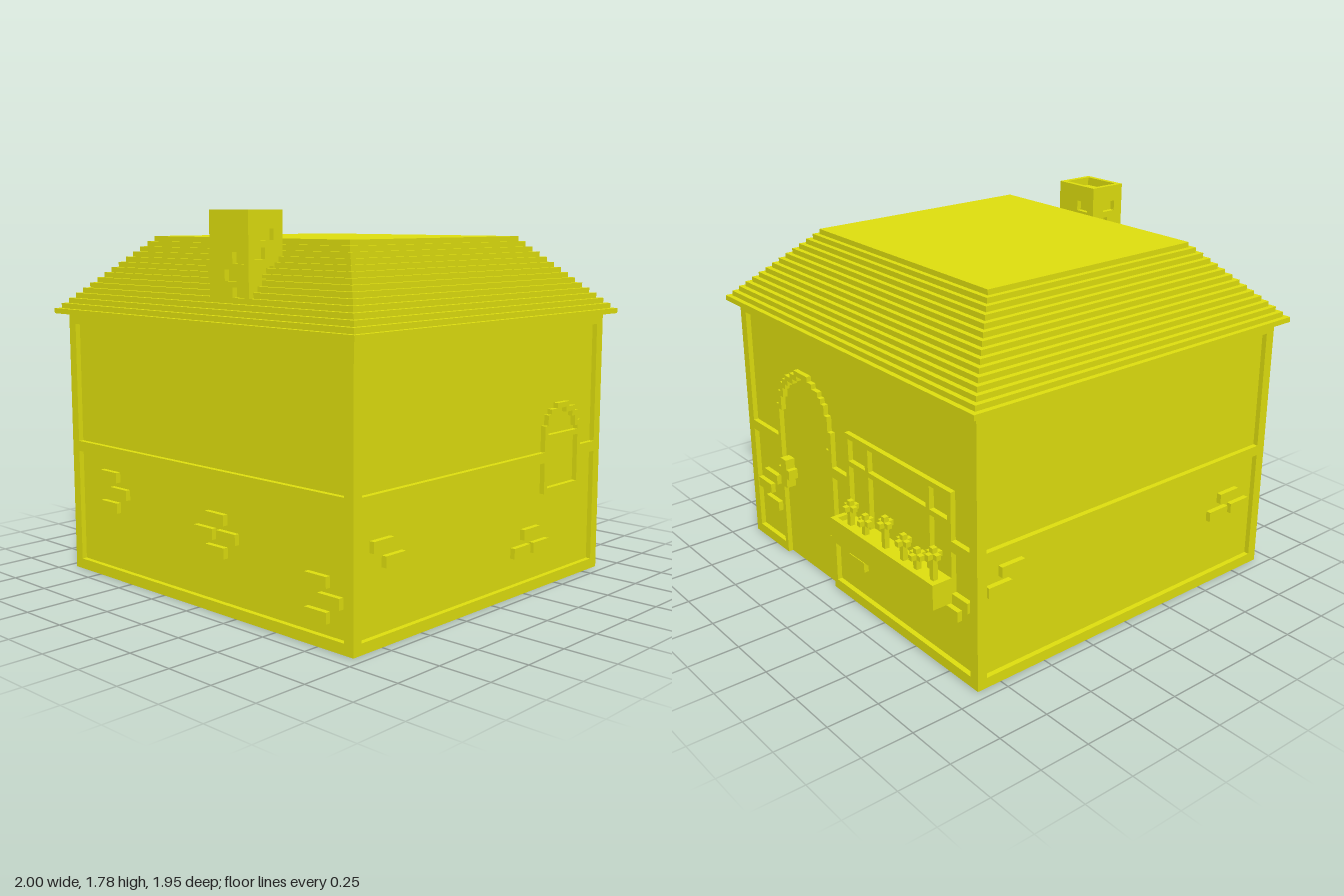
import * as THREE from 'three';

const T = 0.025; // relief step used by frames, bricks and roof layers
const material = new THREE.MeshStandardMaterial({ color: 0xdfdf0e, flatShading: true });

function add(parent, name, geometry) {
  const mesh = new THREE.Mesh(geometry, material);
  mesh.name = name;
  parent.add(mesh);
  return mesh;
}

// Box given by its limits on each axis
function box(parent, name, x0, x1, y0, y1, z0, z1) {
  const mesh = add(parent, name, new THREE.BoxGeometry(x1 - x0, y1 - y0, z1 - z0));
  mesh.position.set((x0 + x1) / 2, (y0 + y1) / 2, (z0 + z1) / 2);
  return mesh;
}

// Group facing outward: local x runs along the wall, local z = 0 is the panel surface
function side(parent, name, angle, distance) {
  const group = new THREE.Group();
  group.name = name;
  group.rotation.y = angle;
  group.position.set(Math.sin(angle) * distance, 0, Math.cos(angle) * distance);
  parent.add(group);
  return group;
}

function rectangle(x0, x1, y0, y1) {
  return [[x0, y0], [x1, y0], [x1, y1], [x0, y1]].map(p => new THREE.Vector2(...p));
}

function slab(parent, name, outline, holes) {
  const shape = new THREE.Shape(outline);
  holes.forEach(h => shape.holes.push(new THREE.Path(h)));
  return add(parent, name, new THREE.ExtrudeGeometry(shape, { depth: T, bevelEnabled: false }));
}

// Stepped arch outline; steps are [half width, height], widest first
function archOutline(cx, bottom, steps, inset) {
  const right = [];
  let y = bottom;
  for (const [half, top] of steps) {
    const h = half - inset;
    right.push([h, y], [h, top - inset]);
    y = top - inset;
  }
  const left = right.map(([h, v]) => [-h, v]).reverse();
  return [...right, ...left].map(([h, v]) => new THREE.Vector2(cx + h, v));
}

// Timber frame: outer rails, posts and a belt that may be interrupted
function frame(wall, u0, u1, in0, in1, belts, sills = [[u0, u1]]) {
  box(wall, 'cornerPost', u0, in0, 0, 1.28, 0, T);
  box(wall, 'cornerPost', in1, u1, 0, 1.28, 0, T);
  box(wall, 'topRail', in0, in1, 1.23, 1.28, 0, T);
  sills.forEach(([a, b]) => box(wall, 'bottomRail', a, b, 0, 0.05, 0, T));
  belts.forEach(([a, b]) => box(wall, 'beltRail', a, b, 0.6, 0.65, 0, T));
}

function bricks(wall, list) {
  for (const [u, y] of list) box(wall, 'brick', u - 0.0625, u + 0.0625, y - 0.025, y + 0.025, 0, T);
}

function buildFront(house) {
  const wall = side(house, 'frontWall', 0, 0.9);
  frame(wall, -0.95, 0.95, -0.9, 0.9, [[-0.9, 0.9]]);
  bricks(wall, [[-0.665, 0.505], [-0.59, 0.43], [-0.665, 0.355], [0.11, 0.43], [0.035, 0.355],
    [0.185, 0.355], [0.11, 0.28], [0.735, 0.28], [0.81, 0.205], [0.735, 0.13]]);
}

function buildRight(house) {
  const wall = side(house, 'rightWall', Math.PI / 2, 0.925);
  frame(wall, -0.9, 0.85, -0.875, 0.825, [[-0.875, 0.4], [0.7, 0.825]]);
  bricks(wall, [[-0.74, 0.43], [-0.665, 0.355], [0.31, 0.28], [0.235, 0.205], [0.385, 0.205]]);
  // Arched window with a crossbar
  const steps = [[0.15, 0.775], [0.125, 0.825], [0.1, 0.85], [0.05, 0.875]];
  slab(wall, 'archedWindowFrame', archOutline(0.55, 0.45, steps, 0),
    [rectangle(0.425, 0.675, 0.475, 0.705), archOutline(0.55, 0.73, steps, T)]);
}

function buildLeft(house) {
  const wall = side(house, 'leftWall', -Math.PI / 2, 0.925);
  frame(wall, -0.85, 0.9, -0.825, 0.875, [[-0.825, 0.875]]);
  bricks(wall, [[-0.68, 0.53], [-0.75, 0.455], [0.62, 0.36], [0.69, 0.435], [0.77, 0.36]]);
}

function buildBack(house) {
  const wall = side(house, 'backWall', Math.PI, 0.85);
  frame(wall, -0.95, 0.95, -0.9, 0.9, [[-0.9, -0.65], [-0.15, -0.025], [0.775, 0.9]],
    [[-0.9, -0.65], [-0.15, 0.9]]);
  bricks(wall, [[-0.76, 0.38], [-0.83, 0.305], [-0.76, 0.23], [0.03, 0.22], [0.75, 0.3], [0.82, 0.375]]);

  // Arched door surround, jamb stones and handle
  const steps = [[0.25, 0.825], [0.225, 0.9], [0.2, 0.95], [0.175, 0.975], [0.15, 1.0], [0.1, 1.025], [0.06, 1.05]];
  const outer = archOutline(-0.4, 0, steps, 0);
  const inner = archOutline(-0.4, 0, steps, T);
  slab(wall, 'doorSurround', [...outer, ...inner.reverse()], []);
  for (const y of [0.22, 0.68]) box(wall, 'jambStone', -0.2, -0.15, y, y + 0.05, 0, T);
  box(wall, 'doorHandle', -0.6, -0.55, 0.4, 0.55, 0, 2 * T);
  box(wall, 'doorHandle', -0.625, -0.525, 0.45, 0.5, 0, 2 * T);

  // Wide window: outer frame, two mullions and a crossbar
  const panes = [];
  for (const [a, b] of [[0, 0.135], [0.16, 0.6], [0.625, 0.75]])
    for (const [c, d] of [[0.4, 0.715], [0.74, 0.85]]) panes.push(rectangle(a, b, c, d));
  slab(wall, 'wideWindowFrame', rectangle(-0.025, 0.775, 0.375, 0.875), panes);

  // Flower box with soil
  const planter = new THREE.Group();
  planter.name = 'flowerBox';
  wall.add(planter);
  box(planter, 'planterFront', -0.02, 0.775, 0.355, 0.475, 0.1, 0.125);
  box(planter, 'planterEnd', -0.02, 0.005, 0.355, 0.475, 0, 0.1);
  box(planter, 'planterEnd', 0.75, 0.775, 0.355, 0.475, 0, 0.1);
  box(planter, 'soil', 0.005, 0.75, 0.355, 0.45, 0, 0.1);

  // Flowers: a stem with a three-way cross
  const flowers = [[0.06, 0.575], [0.18, 0.55], [0.34, 0.605], [0.48, 0.575], [0.58, 0.55], [0.7, 0.605]];
  for (const [u, top] of flowers) {
    const h = T / 2, w = 1.5 * T, d = 0.0625, y = top - 2 * T;
    box(planter, 'flowerStem', u - h, u + h, 0.45, top, d - h, d + h);
    box(planter, 'petals', u - w, u + w, y, y + T, d - h, d + h);
    box(planter, 'petals', u - h, u + h, y, y + T, d - w, d + w);
  }
}

function buildChimney(house) {
  const chimney = new THREE.Group();
  chimney.name = 'chimney';
  chimney.position.set(0.175, 0, 0.775);
  house.add(chimney);
  box(chimney, 'chimneyCore', -0.1, 0.1, 1.35, 1.74, -0.075, 0.075);
  // Four faces with sunken bricks
  const faces = [
    [0, 0.075, 0.125, [[0.06, 1.575], [0.01, 1.5], [0.06, 1.425]]],
    [Math.PI / 2, 0.1, 0.1, [[0.008, 1.675], [-0.042, 1.595], [0.008, 1.515]]],
    [Math.PI, 0.075, 0.125, [[0.045, 1.675], [-0.045, 1.6]]],
    [-Math.PI / 2, 0.1, 0.1, [[0.01, 1.675], [-0.035, 1.595], [0.01, 1.515]]],
  ];
  for (const [angle, distance, half, list] of faces) {
    const face = side(chimney, 'chimneySide', angle, distance);
    slab(face, 'chimneyFace', rectangle(-half, half, 1.35, 1.78),
      list.map(([u, y]) => rectangle(u - 0.0375, u + 0.0375, y - 0.025, y + 0.025)));
  }
}

export function createModel() {
  const house = new THREE.Group();
  house.name = 'house';
  box(house, 'wallCore', -0.925, 0.925, 0, 1.28, -0.85, 0.9);
  buildFront(house);
  buildRight(house);
  buildLeft(house);
  buildBack(house);
  // Stepped hip roof
  for (let i = 0; i < 15; i++) {
    const y = 1.28 + i * T, s = i * T;
    box(house, 'roofLayer', -1 + s, 1 - s, y, y + T, -0.925 + s, 0.975 - s);
  }
  buildChimney(house);
  return house;
}
